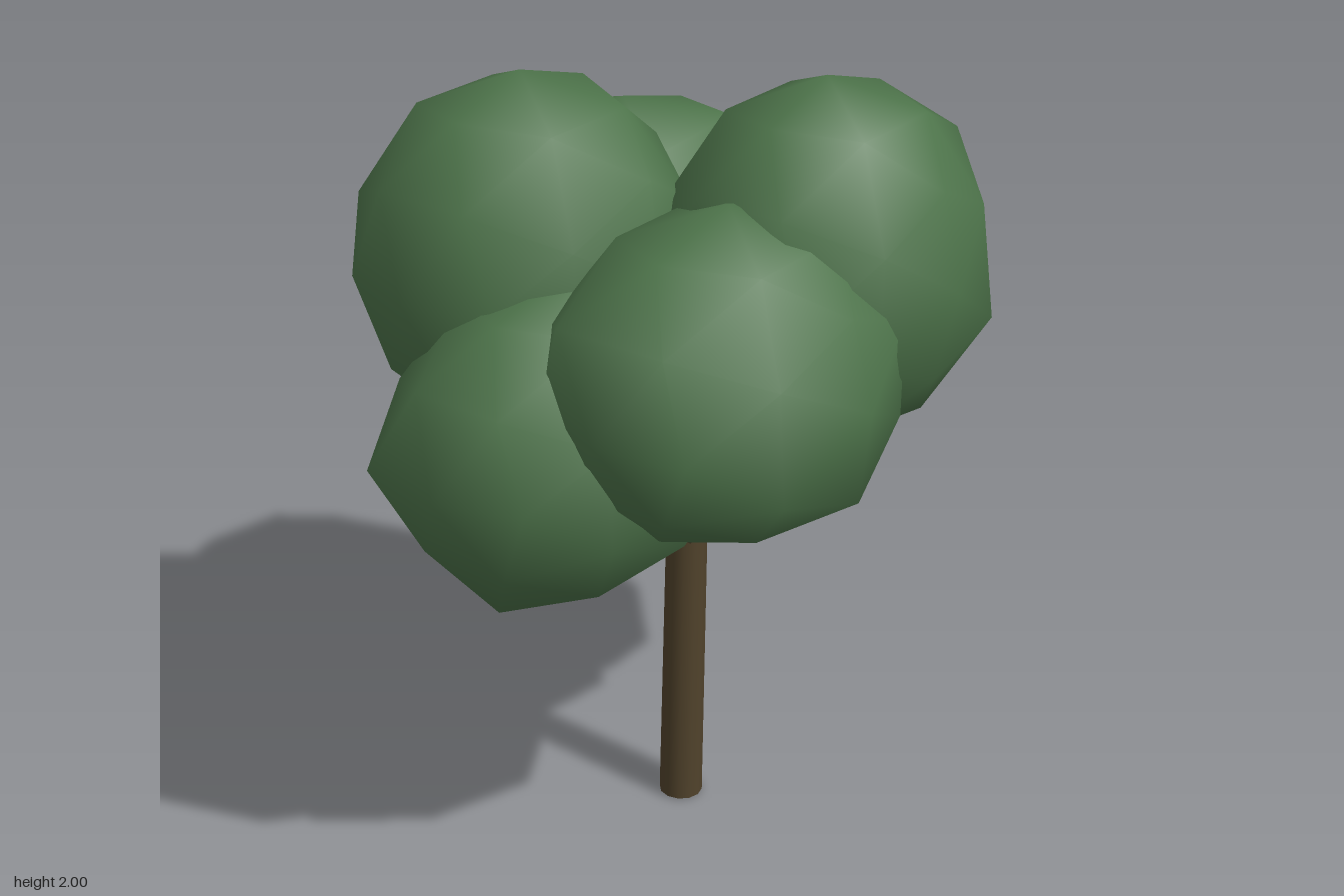
import * as THREE from 'three';
import { mergeVertices } from 'three/addons/utils/BufferGeometryUtils.js';

const foliage = new THREE.MeshStandardMaterial({ name: 'leaf green', color: 0x4d734a });
const bark = new THREE.MeshStandardMaterial({ name: 'bark brown', color: 0x50422b });

// Low-poly ball whose corners nearest the given directions swell by a tenth.
function clump(name, centre, radii, ...bulges) {
  let geo = new THREE.IcosahedronGeometry(1, 1);
  geo.deleteAttribute('uv');
  geo.deleteAttribute('normal');
  geo = mergeVertices(geo, 1e-3);
  const pos = geo.attributes.position;
  const v = new THREE.Vector3();
  const directions = bulges.map((b) => new THREE.Vector3(...b).normalize());
  for (let i = 0; i < pos.count; i++) {
    v.fromBufferAttribute(pos, i);
    if (directions.some((d) => d.dot(v) > 0.97)) v.multiplyScalar(1.1);
    pos.setXYZ(i, v.x * radii[0], v.y * radii[1], v.z * radii[2]);
  }
  geo.computeVertexNormals();
  const mesh = new THREE.Mesh(geo, foliage);
  mesh.name = name;
  mesh.position.set(...centre);
  return mesh;
}

// Tapered round limb between two points.
function limb(name, from, to, r0, r1, sides) {
  const a = new THREE.Vector3(...from), b = new THREE.Vector3(...to);
  const dir = b.clone().sub(a);
  const mesh = new THREE.Mesh(new THREE.CylinderGeometry(r1, r0, dir.length(), sides), bark);
  mesh.name = name;
  mesh.position.copy(a).add(b).multiplyScalar(0.5);
  mesh.quaternion.setFromUnitVectors(new THREE.Vector3(0, 1, 0), dir.normalize());
  return mesh;
}

export function createModel() {
  const tree = new THREE.Group();
  tree.name = 'tree';

  // Slightly leaning trunk
  tree.add(limb('trunk', [-0.02, 0.002, 0.027], [0.016, 0.93, 0.022], 0.057, 0.052, 12));

  // Short branches, one towards each clump
  const tips = {
    branchRight: [-0.22, 0.88, 0.0],
    branchLeft: [0.25, 0.9, 0.03],
    branchFrontRight: [-0.1, 0.96, 0.14],
    branchFrontLeft: [0.06, 0.93, 0.15],
    branchBackRight: [-0.08, 0.95, -0.11],
    branchBackLeft: [0.09, 0.95, -0.11],
  };
  for (const [name, tip] of Object.entries(tips)) {
    tree.add(limb(name, [0.01, 0.745, 0.024], tip, 0.025, 0.022, 8));
  }

  // Crown: centre, radii, then the directions in which each clump bulges
  tree.add(
    clump('clumpFrontLeft', [0.145, 1.56, 0.315], [0.425, 0.44, 0.375],
      [0.8, 0.5, 0.3], [0.5, -0.3, 0.8], [0.53, -0.85, 0], [0.3, -0.8, 0.5], [-0.85, 0, 0.53]),
    clump('clumpFrontRight', [-0.21, 1.4, 0.3], [0.49, 0.395, 0.39],
      [-0.8, 0.5, -0.3], [-0.85, 0, 0.53], [-0.5, -0.3, 0.8], [0, -0.53, 0.85]),
    clump('clumpBackRight', [-0.22, 1.55, -0.285], [0.43, 0.44, 0.405],
      [-0.8, -0.5, 0.3], [0, 0.53, 0.85], [0.5, 0.3, -0.8], [0.85, 0, -0.53]),
    clump('clumpBackLeft', [0.18, 1.41, -0.3], [0.445, 0.41, 0.39],
      [0.5, 0.3, -0.8], [0.3, 0.8, 0.5]),
    clump('clumpRight', [-0.38, 1.225, -0.02], [0.48, 0.4, 0.385],
      [-0.85, 0, -0.53], [-0.53, -0.85, 0]),
    clump('clumpLeft', [0.37, 1.23, 0.05], [0.49, 0.37, 0.385],
      [0.85, 0, -0.53], [0.3, -0.8, 0.5], [0.3, -0.8, -0.5], [-0.53, -0.85, 0]),
  );
  return tree;
}
